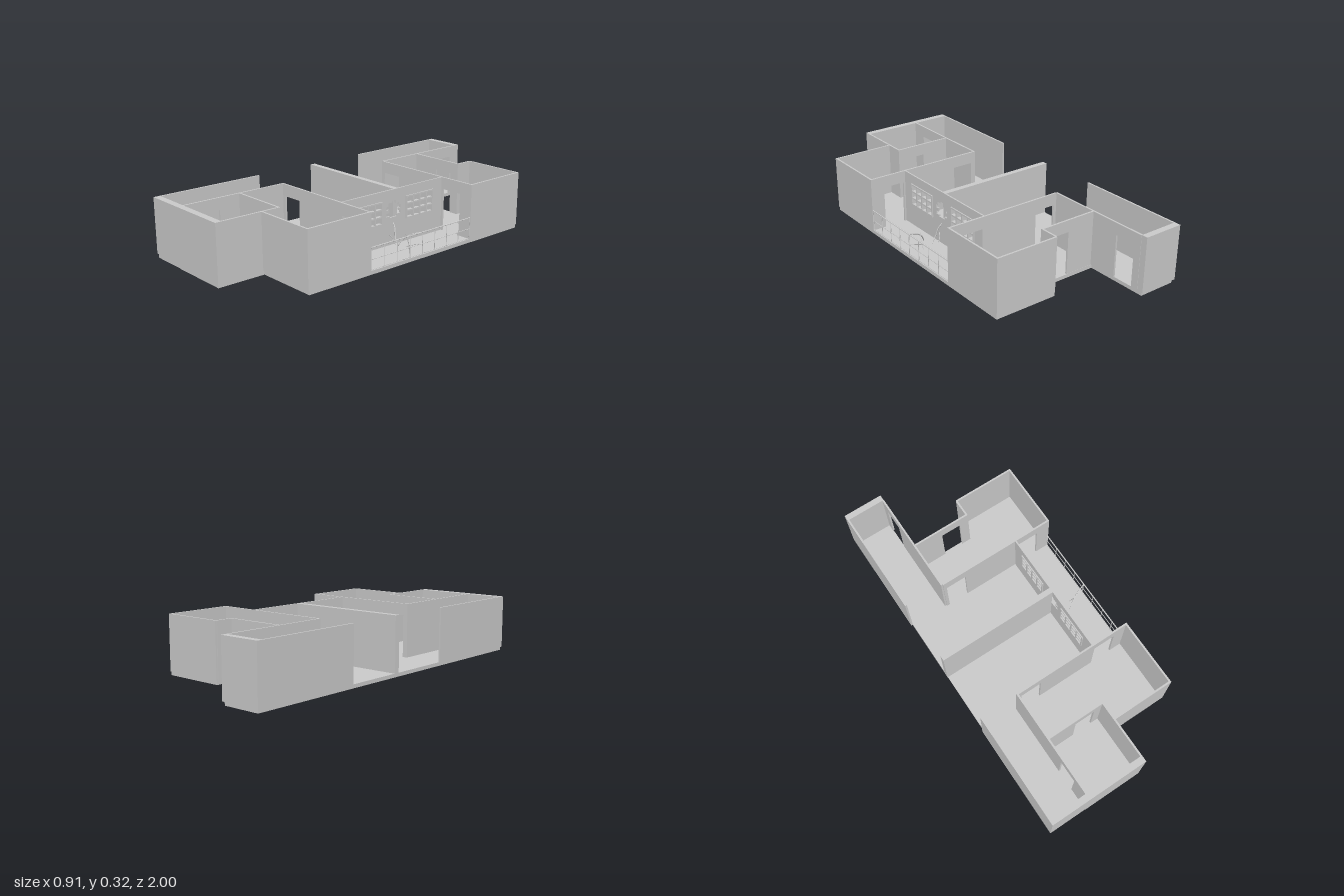
import * as THREE from 'three';

const FLOOR = 0.02, TOP = 0.32, DOOR_TOP = 0.255;

export function createModel() {
  const model = new THREE.Group();
  model.name = 'apartmentFloor';
  const mat = new THREE.MeshStandardMaterial({ color: 0xcccccc, flatShading: true });

  function add(name, geometry, parent = model) {
    const mesh = new THREE.Mesh(geometry, mat);
    mesh.name = name;
    parent.add(mesh);
    return mesh;
  }

  function box(name, x0, x1, y0, y1, z0, z1, parent) {
    const g = new THREE.BoxGeometry(x1 - x0, y1 - y0, z1 - z0);
    g.translate((x0 + x1) / 2, (y0 + y1) / 2, (z0 + z1) / 2);
    return add(name, g, parent);
  }

  // Thin bar between two points
  function bar(name, a, b, r, parent) {
    const path = new THREE.LineCurve3(new THREE.Vector3(...a), new THREE.Vector3(...b));
    return add(name, new THREE.TubeGeometry(path, 1, r, 6), parent);
  }

  // Wall running along x or z, centred on 'at'; doors are [from, to] spans
  // in ascending order, holes are lists of [along, y] corners.
  function wall(name, axis, at, from, to, { doors = [], holes = [], t = 0.01, y0 = FLOOR } = {}) {
    const outline = [[from, y0]];
    for (const [a, b] of doors) outline.push([a, y0], [a, DOOR_TOP], [b, DOOR_TOP], [b, y0]);
    outline.push([to, y0], [to, TOP], [from, TOP]);
    const shape = new THREE.Shape(outline.map(p => new THREE.Vector2(...p)));
    for (const h of holes) shape.holes.push(new THREE.Path(h.map(p => new THREE.Vector2(...p))));
    const g = new THREE.ExtrudeGeometry(shape, { depth: t, bevelEnabled: false });
    if (axis === 'x') g.translate(0, 0, at - t / 2);
    else g.rotateY(-Math.PI / 2).translate(at + t / 2, 0, 0);
    return add(name, g);
  }

  // Floor slab following the plan (shape y is -z)
  const plan = [[-0.447, -0.99], [-0.235, -0.99], [-0.235, -0.643], [0.1, -0.643], [0.1, -0.74],
    [0.453, -0.74], [0.453, 0.737], [0.1, 0.737], [0.1, 0.998], [-0.447, 0.998]];
  const slab = new THREE.Shape(plan.map(([x, z]) => new THREE.Vector2(x, -z)));
  add('floor', new THREE.ExtrudeGeometry(slab, { depth: FLOOR, bevelEnabled: false }).rotateX(-Math.PI / 2));

  // Corridor outer walls, open in the middle
  wall('backCorridorOuterWall', 'z', -0.452, -1, -0.365);
  wall('frontCorridorOuterWall', 'z', -0.452, 0.36, 1);
  wall('backEndWall', 'x', -0.983, -0.447, -0.23, { t: 0.034 });
  wall('frontEndWall', 'x', 0.982, -0.447, 0.105, { t: 0.036 });
  wall('backCorridorInnerWall', 'z', -0.233, -0.966, -0.36, { doors: [[-0.925, -0.805]] });
  wall('frontCorridorInnerWall', 'z', -0.233, 0.355, 0.964, { doors: [[0.76, 0.875]] });

  // Walls shared by the two mirrored flats
  for (const [side, s] of [['back', -1], ['front', 1]]) {
    wall(side + 'RoomInnerWall', 'x', s * 0.36, -0.228, 0.455, { doors: [[-0.21, -0.09], [0.25, 0.375]] });
    wall(side + 'RoomMiddleWall', 'x', s * 0.637, -0.228, 0.105, { doors: [[-0.065, 0.05]] });
    wall(side + 'RoomEndWall', 'x', s * 0.738, 0.1, 0.455);
    const span = [s * 0.365, s * 0.735].sort((a, b) => a - b);
    wall(side + 'RoomSideWall', 'z', 0.45, ...span);
  }
  wall('backRoomStepWall', 'z', 0.1, -0.735, -0.64);
  wall('bathroomSideWall', 'z', 0.1, 0.642, 0.965, { y0: 0 });
  box('bathroomFloorEdge', -0.235, 0.105, 0, FLOOR, 0.965, 1);
  wall('dividingWall', 'x', -0.014, -0.45, 0.232, { t: 0.03 });

  // Balcony wall with two windows and a brick-edged breach
  const WIN = [[0.085, 0.287], [-0.285, -0.083]], wy0 = 0.143, wy1 = 0.268;
  const breach = [[0.03, 0.17], [0.03, 0.178], [0.055, 0.178], [0.055, 0.196], [0.035, 0.196], [0.035, 0.214],
    [0.055, 0.214], [0.055, 0.232], [0.04, 0.232], [0.04, 0.25], [0.012, 0.25], [0.012, 0.26], [-0.01, 0.26],
    [-0.01, 0.243], [-0.032, 0.243], [-0.032, 0.229], [-0.045, 0.229], [-0.045, 0.213], [-0.032, 0.213],
    [-0.032, 0.2], [-0.045, 0.2], [-0.045, 0.184], [-0.02, 0.184], [-0.02, 0.17]];
  const winHoles = WIN.map(([a, b]) => [[a, wy0], [b, wy0], [b, wy1], [a, wy1]]);
  wall('balconyWall', 'z', 0.236, -0.36, 0.36, { t: 0.008, holes: [...winHoles, breach] });

  // Window frames: four columns by three rows
  WIN.forEach(([a, b], n) => {
    const frame = new THREE.Group();
    frame.name = n ? 'backWindow' : 'frontWindow';
    model.add(frame);
    const w = 0.008;
    for (let i = 0; i <= 4; i++) {
      const z = a + (b - a - w) * i / 4;
      box('windowUpright', 0.225, 0.247, wy0, wy1, z, z + w, frame);
    }
    for (let i = 0; i <= 3; i++) {
      const y = wy0 + (wy1 - wy0 - w) * i / 3;
      box('windowCrossbar', 0.226, 0.246, y, y + w, a, b, frame);
    }
  });

  // Balcony railing
  const railing = new THREE.Group();
  railing.name = 'balconyRailing';
  model.add(railing);
  for (let i = 0; i <= 8; i++) {
    const z = -0.355 + 0.71 * i / 8;
    bar('railingPost', [0.45, FLOOR, z], [0.45, 0.14, z], 0.002, railing);
  }
  for (const y of [0.025, 0.077, 0.138])
    bar('railingRail', [0.45, y, -0.358], [0.45, y, 0.358], y > 0.1 ? 0.0035 : 0.002, railing);

  // Broken railing that once split the balcony
  const broken = new THREE.Group();
  broken.name = 'brokenRailing';
  model.add(broken);
  const bent = (name, pts, r) => add(name, new THREE.TubeGeometry(
    new THREE.CatmullRomCurve3(pts.map(p => new THREE.Vector3(...p))), 12, r, 6), broken);
  bent('bentTopRail', [[0.45, 0.138, 0], [0.39, 0.115, 0.02], [0.345, 0.08, 0.04], [0.325, 0.045, 0.055]], 0.003);
  bent('bentMiddleRail', [[0.45, 0.077, 0], [0.4, 0.06, 0.01], [0.35, 0.04, 0.02]], 0.002);
  bent('bentPost', [[0.36, 0.11, 0.03], [0.365, 0.06, 0.015], [0.36, 0.022, 0.005]], 0.002);
  bent('wallStub', [[0.24, 0.138, 0.005], [0.26, 0.11, 0.012], [0.275, 0.06, 0.02], [0.3, 0.03, 0.018]], 0.003);
  bent('wallStubLower', [[0.24, 0.077, 0.03], [0.25, 0.05, 0.015], [0.265, 0.025, 0.01]], 0.002);

  return model;
}
